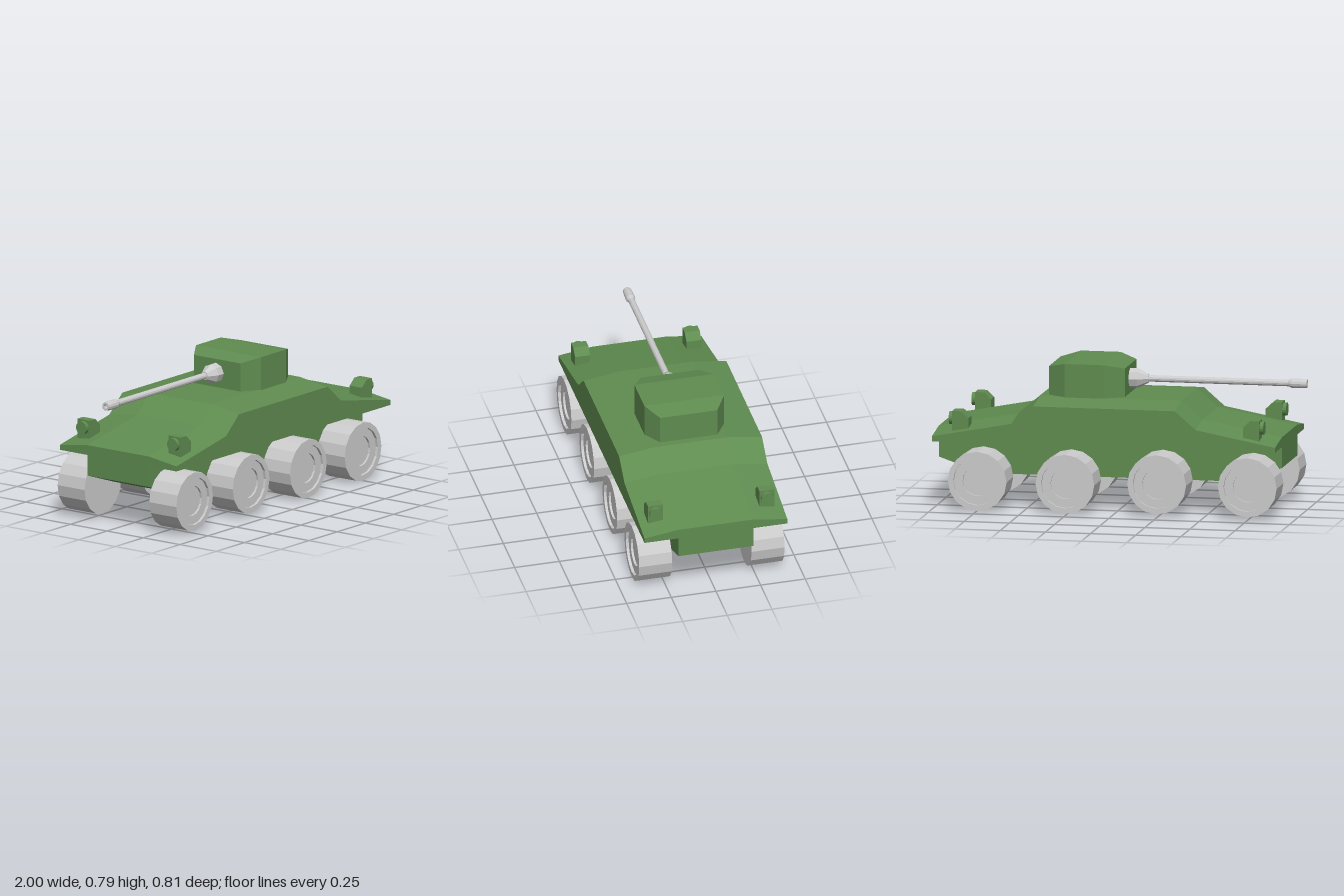
import * as THREE from 'three';

const green = new THREE.MeshStandardMaterial({ color: 0x5f8c50, flatShading: true });
const grey = new THREE.MeshStandardMaterial({ color: 0xcccccc, flatShading: true });

function part(parent, name, geometry, material) {
  const mesh = new THREE.Mesh(geometry, material);
  mesh.name = name;
  parent.add(mesh);
  return mesh;
}

// Solid through convex cross-sections; each is { x, half: [[z, y], ...] } for
// the +z side from bottom to top, mirrored to -z. Sections run along +x.
function loft(sections) {
  const rings = sections.map(({ x, half }) => [
    ...half.map(([z, y]) => [x, y, z]),
    ...half.slice().reverse().map(([z, y]) => [x, y, -z]),
  ]);
  const n = rings[0].length;
  const pos = [];
  const tri = (...pts) => pts.forEach((p) => pos.push(...p));
  for (let s = 0; s < rings.length - 1; s++) {
    const r = rings[s], q = rings[s + 1];
    for (let i = 0; i < n; i++) {
      const j = (i + 1) % n;
      tri(r[i], q[i], r[j]);
      tri(q[i], q[j], r[j]);
    }
  }
  const first = rings[0], last = rings[rings.length - 1];
  for (let i = 1; i < n - 1; i++) {
    tri(first[0], first[i], first[i + 1]);
    tri(last[0], last[i + 1], last[i]);
  }
  const g = new THREE.BufferGeometry();
  g.setAttribute('position', new THREE.Float32BufferAttribute(pos, 3));
  g.computeVertexNormals();
  return g;
}

const lathe = (points, sides) =>
  new THREE.LatheGeometry(points.map(([r, y]) => new THREE.Vector2(r, y)), sides);

function createHeadlight() {
  const lamp = new THREE.Group();
  lamp.name = 'headlight';
  const box = [[-0.09, 0.503], [-0.05, 0.54], [0, 0.54]];
  part(lamp, 'lampHousing', loft(box.map(([x, top]) => (
    { x, half: [[0.042, 0.42], [0.042, top]] }))), green);
  const lens = part(lamp, 'lampLens', new THREE.CylinderGeometry(0.036, 0.036, 0.03, 16), green);
  lens.rotation.z = Math.PI / 2;
  lens.position.set(0.006, 0.497, 0);
  return lamp;
}

export function createModel() {
  const model = new THREE.Group();
  model.name = 'armouredCar';

  // Wide upper hull: [x, height at the centre]; the roof falls to its sides
  const roof = [[-0.9, 0.432], [-0.46, 0.515], [-0.345, 0.615],
    [0.44, 0.615], [0.56, 0.515], [1, 0.432]];
  part(model, 'upperHull', loft(roof.map(([x, y]) => (
    { x, half: [[0.4, 0.377], [0.4, y - 0.027], [0.21, y]] }))), green);

  // Narrow lower hull with sloped ends
  const belly = [[-0.9, 0.262], [-0.66, 0.18], [0.76, 0.18], [1, 0.262]];
  part(model, 'lowerHull', loft(belly.map(([x, y]) => (
    { x, half: [[0.21, y], [0.21, 0.38]] }))), green);

  // Eight-sided turret: [x, half width, top]
  const turret = [[-0.02, 0.16, 0.772], [0.08, 0.223, 0.797],
    [0.3, 0.223, 0.797], [0.4, 0.16, 0.772]];
  part(model, 'turret', loft(turret.map(([x, w, y]) => (
    { x, half: [[w, 0.6], [w, y]] }))), green);

  // Gun pointing along -x
  const gun = new THREE.Group();
  gun.name = 'gun';
  gun.position.set(0, 0.697, -0.009);
  gun.rotation.z = Math.PI / 2;
  model.add(gun);
  part(gun, 'mantlet', lathe([[0, 0], [0.054, 0], [0.054, 0.065], [0.024, 0.122], [0, 0.122]], 8), grey);
  part(gun, 'barrel', lathe([[0.018, 0.1], [0.018, 0.895], [0.026, 0.915],
    [0.026, 0.97], [0.023, 1], [0.012, 1], [0.012, 0.96], [0, 0.96]], 12), grey);

  // Four headlights
  for (const side of [1, -1]) {
    for (const end of [1, -1]) {
      const lamp = createHeadlight();
      lamp.position.set(end > 0 ? 0.897 : -0.803, 0, side * 0.312);
      lamp.rotation.y = end > 0 ? 0 : Math.PI;
      model.add(lamp);
    }
  }

  // Eight wheels with stepped hubs: [x, y]
  const wheelShape = lathe([[0, 0.222], [0.163, 0.222], [0.163, 0.407], [0.132, 0.407],
    [0.132, 0.392], [0.083, 0.392], [0.083, 0.38], [0, 0.38]], 16);
  const axles = [[-0.748, 0.181], [-0.246, 0.181], [0.262, 0.166], [0.748, 0.166]];
  for (const [x, y] of axles) {
    for (const side of [1, -1]) {
      const wheel = part(model, 'wheel', wheelShape, grey);
      wheel.position.set(x, y, 0);
      wheel.rotation.x = side * Math.PI / 2;
    }
  }
  return model;
}
